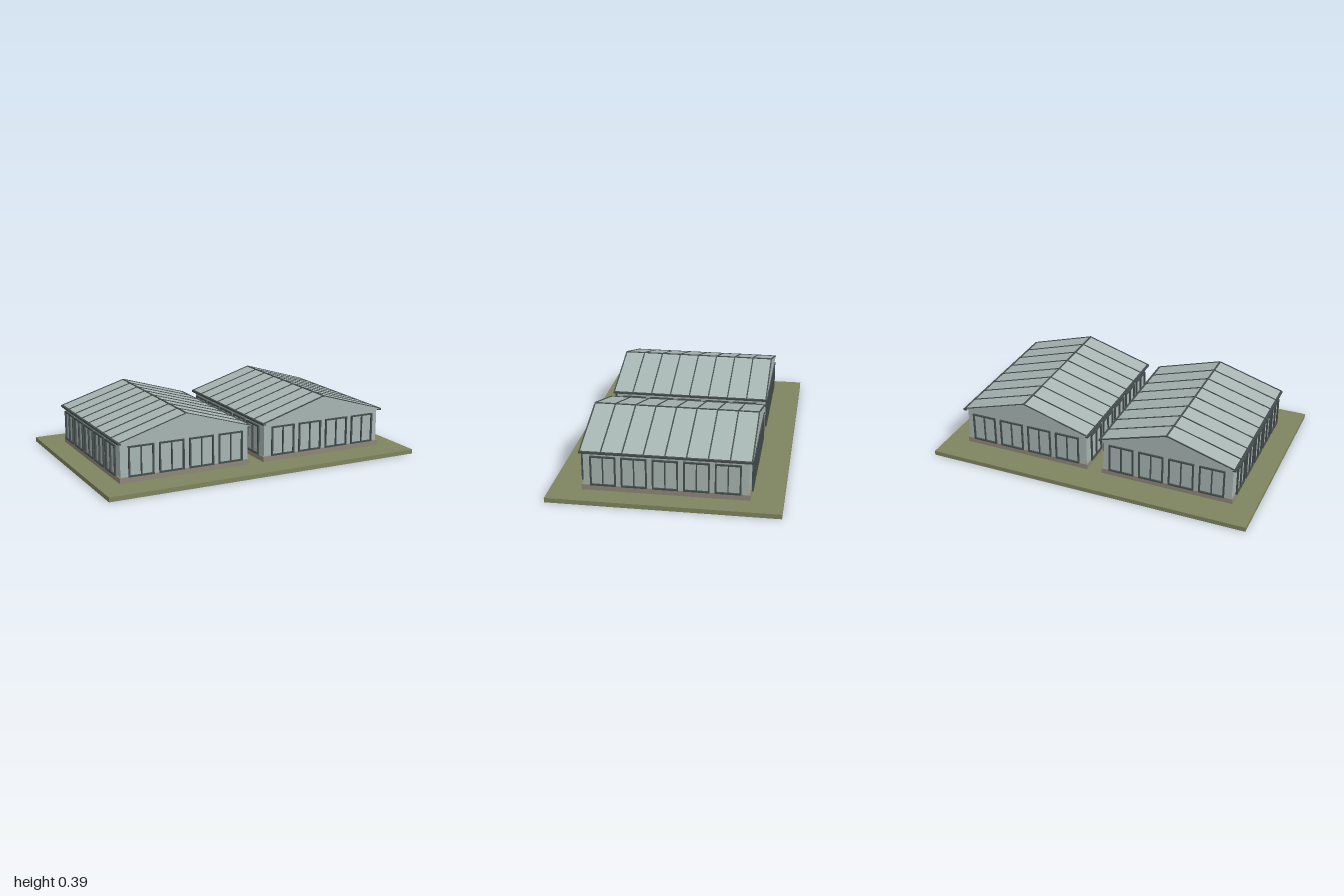
import * as THREE from 'three';

const mat = (name, color) => Object.assign(new THREE.MeshStandardMaterial({ color }), { name });

export function createModel() {
  const grass = mat('grass', 0x7f8560);
  const plinth = mat('plinth', 0x8f8779);
  const glass = mat('glass', 0xa8b6b3);
  const frame = mat('frame', 0x454e4e);

  const box = (parent, name, m, w, h, d, x, y, z) => {
    const mesh = new THREE.Mesh(new THREE.BoxGeometry(w, h, d), m);
    mesh.name = name;
    mesh.position.set(x, y, z);
    parent.add(mesh);
    return mesh;
  };

  // Upright window frame with a centre mullion, facing +z
  const makeWindow = (w) => {
    const g = new THREE.Group();
    g.name = 'windowFrame';
    const h = 0.18, t = 0.009, d = 0.01;
    for (const s of [-1, 1]) {
      box(g, 'windowStile', frame, t, h, d, s * (w - t) / 2, 0, 0);
      box(g, 'windowRail', frame, w - 2 * t, t, d, 0, s * (h - t) / 2, 0);
    }
    box(g, 'windowMullion', frame, 0.006, h - 2 * t, d, 0, 0, 0);
    return g;
  };

  const HALF = 0.421, DEPTH = 0.972, EAVE = 0.262, RIDGE = 0.389;

  const makeHouse = () => {
    const g = new THREE.Group();
    box(g, 'plinth', plinth, 0.818, 0.032, 0.954, 0, 0.043, 0);
    box(g, 'glassWalls', glass, 0.802, 0.204, 0.932, 0, 0.16, 0);

    // Solid gabled roof
    const tri = new THREE.Shape();
    tri.moveTo(-HALF, EAVE);
    tri.lineTo(HALF, EAVE);
    tri.lineTo(0, RIDGE);
    tri.closePath();
    const geo = new THREE.ExtrudeGeometry(tri, { depth: DEPTH, bevelEnabled: false });
    geo.translate(0, 0, -DEPTH / 2);
    const roof = new THREE.Mesh(geo, glass);
    roof.name = 'gableRoof';
    g.add(roof);

    // Ridge, gutters and sloping glazing bars
    box(g, 'ridgeBar', frame, 0.01, 0.008, DEPTH, 0, RIDGE - 0.001, 0);
    const rise = RIDGE - EAVE;
    const slope = Math.hypot(HALF, rise), angle = Math.atan2(rise, HALF);
    for (const s of [-1, 1]) {
      box(g, 'gutter', frame, 0.02, 0.012, DEPTH, s * 0.411, 0.26, 0);
      for (let i = 0; i <= 8; i++) {
        const z = (i / 8 - 0.5) * (DEPTH - 0.007);
        const bar = box(g, 'glazingBar', frame, slope, 0.006, 0.007,
          s * HALF / 2, (EAVE + RIDGE) / 2 + 0.001, z);
        bar.rotation.z = -s * angle;
      }
    }

    // Windows: four on each gable end, five on each long side
    for (const s of [-1, 1]) {
      for (let i = 0; i < 4; i++) {
        const w = makeWindow(0.155);
        w.position.set((i - 1.5) * 0.187, 0.151, s * 0.483);
        g.add(w);
      }
      for (let i = 0; i < 5; i++) {
        const w = makeWindow(0.147);
        w.rotation.y = Math.PI / 2;
        w.position.set(s * 0.415, 0.151, (i - 2) * 0.176);
        g.add(w);
      }
    }
    return g;
  };

  const model = new THREE.Group();
  model.name = 'greenhousePair';
  box(model, 'ground', grass, 2, 0.027, 1.32, 0, 0.0135, 0);
  for (const [name, x] of [['leftGreenhouse', 0.456], ['rightGreenhouse', -0.456]]) {
    const house = makeHouse();
    house.name = name;
    house.position.x = x;
    model.add(house);
  }
  return model;
}
